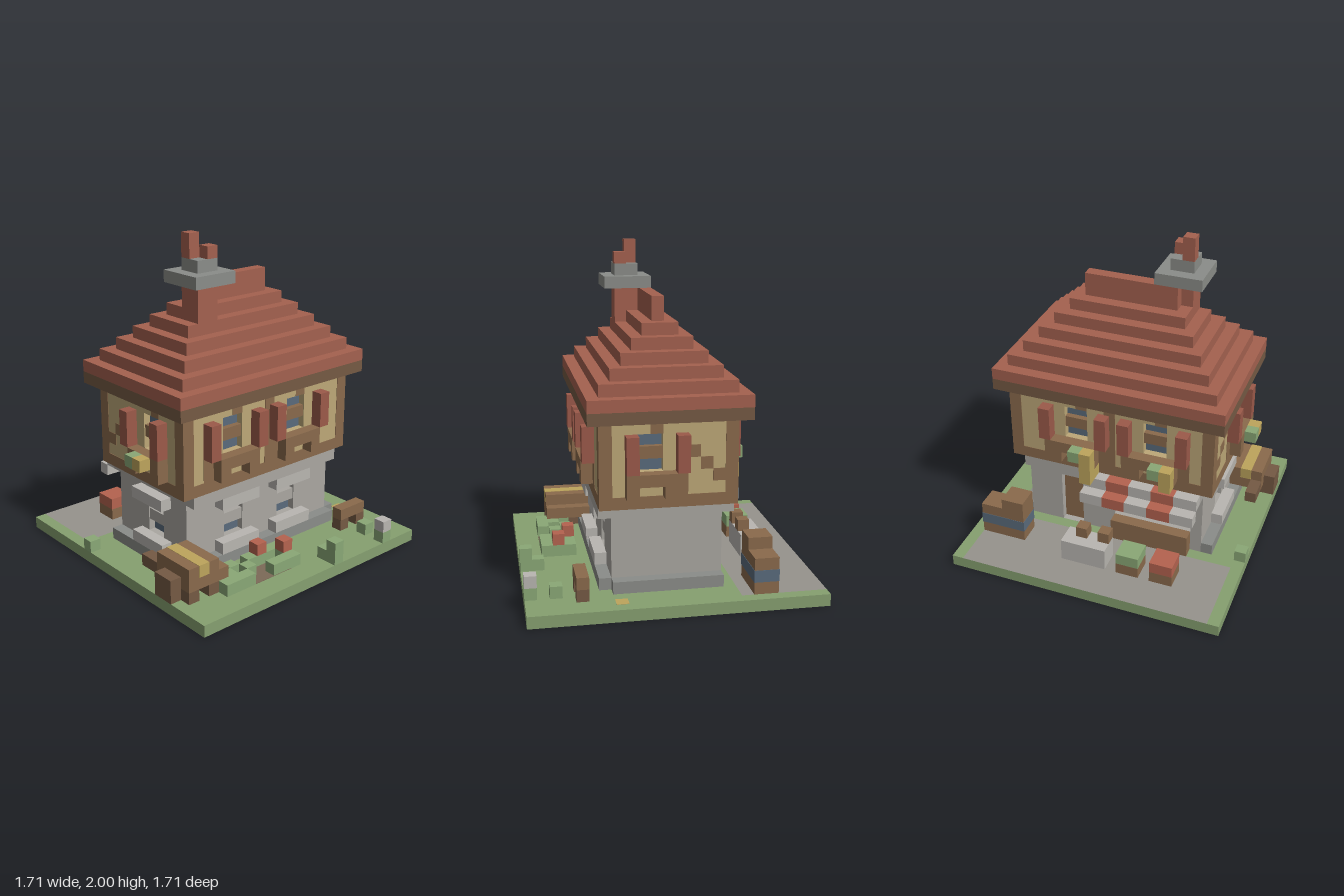
import * as THREE from 'three';

const C = {
  stone: 0xaaa7a1, paleStone: 0xb9b6b1, slate: 0x8b8d89, paving: 0x96938d, plaster: 0xbda878,
  timber: 0x8a6a4c, darkTimber: 0x755a44, tile: 0xa4614f, shutter: 0x9c5a4a, glass: 0x5a6b7c,
  grass: 0x86a070, leaf: 0x8aa876, yellow: 0xbda55c, red: 0xb5634f, soil: 0x7d6a58,
};
const materials = {};
const mat = (c) => (materials[c] ??= new THREE.MeshStandardMaterial({ color: C[c], flatShading: true, side: THREE.DoubleSide }));

function add(parent, name, color, geometry) {
  const mesh = new THREE.Mesh(geometry, mat(color));
  mesh.name = name;
  parent.add(mesh);
  return mesh;
}

// Block given by its limits, in blocks (1/14 unit)
function box(parent, name, color, x0, x1, y0, y1, z0, z1) {
  const g = new THREE.BoxGeometry(x1 - x0, y1 - y0, z1 - z0);
  g.translate((x0 + x1) / 2, (y0 + y1) / 2, (z0 + z1) / 2);
  return add(parent, name, color, g);
}

function rect(Type, x0, x1, y0, y1) {
  const s = new Type();
  s.moveTo(x0, y0).lineTo(x1, y0).lineTo(x1, y1).lineTo(x0, y1).closePath();
  return s;
}

// Wall one block thick with rectangular openings; its outer face lies at local z = plane
function wall(parent, name, color, turn, plane, limits, holes) {
  const side = new THREE.Group();
  side.name = name;
  side.rotation.y = turn;
  parent.add(side);
  const shape = rect(THREE.Shape, ...limits);
  for (const h of holes) shape.holes.push(rect(THREE.Path, ...h));
  const g = new THREE.ExtrudeGeometry(shape, { depth: 1, bevelEnabled: false });
  g.translate(0, 0, plane - 1);
  add(side, name + 'Panel', color, g);
  return side;
}

function glazing(side, plane, x0, x1, y0, y1, barColor) {
  box(side, 'windowGlass', 'glass', x0, x1, y0, y1, plane - 0.95, plane - 0.6);
  box(side, 'windowBar', barColor, x0, x1, y0 + 1, y0 + 2, plane - 0.95, plane - 0.1);
}

// Ground floor wall with lintels and sills
function lowerWall(house, name, turn, plane, x0, x1, windows, openings = []) {
  const holes = windows.map((w) => [w, w + 2, 3, 6]);
  const side = wall(house, name, 'stone', turn, plane, [x0, x1, 1, 7], [...holes, ...openings]);
  for (const w of windows) {
    glazing(side, plane, w, w + 2, 3, 6, 'stone');
    box(side, 'lintel', 'paleStone', w - 1, w + 3, 6, 7, plane, plane + 1);
    box(side, 'sill', 'paleStone', w - 1, w + 3, 2, 3, plane, plane + 1);
  }
  return side;
}

// Upper wall: plaster, timber frame, windows [start, left shutter, right shutter, box start]
function upperWall(house, name, turn, plane, x0, x1, windows) {
  const holes = windows.map(([w]) => [w, w + 2, 11, 14]);
  const side = wall(house, name, 'plaster', turn, plane, [x0, x1, 8, 15], holes);
  const beam = (a, b, c, d) => box(side, 'timber', 'timber', a, b, c, d, plane - 0.2, plane + 0.04);
  beam(x0 - 0.04, x1 + 0.04, 8, 9);
  beam(x0 - 0.04, x0 + 1, 9, 15);
  beam(x1 - 1, x1 + 0.04, 9, 15);
  for (const [w, left, right, b] of windows) {
    glazing(side, plane, w, w + 2, 11, 14, 'timber');
    for (const s of [left, right]) {
      box(side, 'shutter', 'shutter', s, s + 1, 11, 14, plane, plane + 1);
      beam(s, s + 1, 9, 11);
    }
    box(side, 'windowBox', 'timber', b, b + 4, 10, 11, plane, plane + 1);
    for (const k of [b, b + 3]) box(side, 'boxBracket', 'timber', k, k + 1, 9, 10, plane, plane + 1);
    beam(w + 1, w + 2, 14, 15);
  }
  return { side, beam };
}

function buildGround(root) {
  const ground = new THREE.Group();
  ground.name = 'ground';
  root.add(ground);
  const rim = new THREE.CylinderGeometry(12 * Math.SQRT2, 12 * Math.SQRT2, 1, 4, 1, true, Math.PI / 4);
  add(ground, 'groundRim', 'grass', rim.translate(0, 0.5, 0));
  const flat = (name, color, limits, hole) => {
    const s = rect(THREE.Shape, ...limits);
    if (hole) s.holes.push(rect(THREE.Path, ...hole));
    add(ground, name, color, new THREE.ShapeGeometry(s).rotateX(-Math.PI / 2).translate(0, 1, 0));
  };
  // limits are x0, x1, -z1, -z0
  flat('lawn', 'grass', [-12, 12, -12, 5], [-8, 8, -5, 4]);
  flat('paving', 'paving', [-11, 11, 5, 12]);
  for (const s of [-11.5, 11.5]) flat('lawnEdge', 'grass', [s - 0.5, s + 0.5, 5, 12]);
}

function buildHouse(root) {
  const house = new THREE.Group();
  house.name = 'house';
  root.add(house);
  const Q = Math.PI / 2;

  // Ground floor
  lowerWall(house, 'lowerFront', 0, 5, -8, 8, [-4, 2]);
  lowerWall(house, 'lowerRight', Q, 8, -5, 4, []);
  lowerWall(house, 'lowerLeft', -Q, 8, -4, 5, [0]);
  const back = lowerWall(house, 'lowerBack', 2 * Q, 4, -8, 8, [], [[-5, -3, 1.01, 6], [0, 7, 3, 6]]);
  box(back, 'door', 'timber', -5, -3, 1, 6, 3.05, 3.4);
  box(back, 'shopWindow', 'glass', 0, 7, 3, 6, 3.05, 3.4);
  box(back, 'counter', 'timber', 0, 7, 1, 3, 4, 5);
  box(house, 'plinthFront', 'slate', -9, 8, 1, 2, 5, 6);
  for (const s of [-1, 1]) box(house, 'plinthSide', 'slate', s * 8.5 - 0.5, s * 8.5 + 0.5, 1, 2, -4, 5);
  box(house, 'stoneCourse', 'stone', -8, 8, 7, 8, -5, 6);

  // Upper floor
  const pair = [[-5, -7, -2, -6], [2, 0, 5, 1]];
  const front = upperWall(house, 'upperFront', 0, 6, -9, 9, pair);
  const right = upperWall(house, 'upperRight', Q, 9, -6, 5, [[-3, -4, 0, -4]]);
  const left = upperWall(house, 'upperLeft', -Q, 9, -5, 6, [[1, -1, 3, 0]]);
  const rear = upperWall(house, 'upperBack', 2 * Q, 5, -9, 9, [[-4, -6, -1, -5], [3, 1, 6, 2]]);
  for (const { beam } of [front, rear]) beam(-0.5, 0.5, 9, 15);
  for (let i = 0; i < 3; i++) {
    right.beam(1 + i, 2 + i, 12 - i, 13 - i);
    left.beam(-2 - i, -1 - i, 12 - i, 13 - i);
  }
  box(house, 'upperFloor', 'timber', -9, 9, 8, 8.1, -5, 6);

  // Box flowers
  for (const x of [-6, 1]) {
    box(house, 'yellowFlower', 'yellow', x, x + 1, 9, 11, -7, -6);
    box(house, 'boxLeaves', 'leaf', x + 1, x + 2, 10, 11, -7, -6);
  }
  box(house, 'hangingFlower', 'yellow', 1, 2, 8, 9, -7, -5);
  box(house, 'boxLeaves', 'leaf', -11, -10, 10, 11, 1, 2);
  box(house, 'yellowFlower', 'yellow', -11, -10, 10, 11, 2, 3);

  // Striped awning
  for (let i = 0; i < 5; i++) {
    const x = -8 + 2 * i, c = i % 2 ? 'red' : 'paleStone';
    box(house, 'awningUpper', c, x, x + 2, 7, 8, -6, -5);
    box(house, 'awningLower', c, x, x + 2, 6, 7, -7, -6);
  }
}

function buildRoof(root) {
  const roof = new THREE.Group();
  roof.name = 'roof';
  root.add(roof);
  box(roof, 'eaves', 'darkTimber', -10, 10, 15, 16, -6, 7);
  for (let i = 0; i < 6; i++) box(roof, 'roofStep', 'tile', i - 10, 10 - i, 16 + i, 17 + i, i - 6, 7 - i);
  box(roof, 'ridge', 'tile', -4, 4, 22, 24, 0, 1);
  box(roof, 'chimney', 'tile', -5, -3, 20, 24, 1, 3);
  box(roof, 'chimneyCap', 'slate', -6, -2, 24, 25, 0, 4);
  box(roof, 'chimneyTop', 'slate', -5, -3, 25, 26, 1, 3);
  box(roof, 'tallPot', 'tile', -5, -4, 26, 28, 1, 2);
  box(roof, 'shortPot', 'tile', -4, -3, 26, 27, 2, 3);
}

function buildYard(root) {
  const yard = new THREE.Group();
  yard.name = 'yard';
  root.add(yard);

  // Barrels with metal bands
  for (const [x, top] of [[7, 5], [9, 4]]) {
    box(yard, 'barrel', 'timber', x, x + 2, 1, top, -8, -6);
    box(yard, 'barrelBand', 'glass', x - 0.03, x + 2.03, 2, 3, -8.03, -5.97);
  }

  // Market goods
  for (const [x, c] of [[-7, 'red'], [-4, 'leaf']]) {
    box(yard, 'crate', 'timber', x, x + 2, 1, 2, -9, -7);
    box(yard, 'produce', c, x, x + 2, 2, 3, -9, -7);
  }
  box(yard, 'stoneTable', 'paleStone', -1, 3, 1, 3, -9, -7);
  for (const x of [-1, 1]) box(yard, 'tableGoods', 'timber', x, x + 1, 3, 4, -8, -7);

  // Hay cart
  box(yard, 'cartBase', 'timber', -11, -7, 2, 3, 5, 9);
  box(yard, 'cartLoad', 'timber', -11, -8, 3, 4, 5, 9);
  box(yard, 'hay', 'yellow', -10, -9, 3, 4.03, 4.97, 9.03);
  box(yard, 'cartShaft', 'darkTimber', -11, -10, 2, 3, 3, 5);
  box(yard, 'cartWheel', 'darkTimber', -12, -11, 1, 3, 6, 8);
  for (const x of [-11, -9]) box(yard, 'cartLeg', 'darkTimber', x, x + 1, 1, 2, 6, 9);

  // Bench
  box(yard, 'benchSeat', 'timber', 7, 10, 2, 3, 7, 8);
  for (const x of [7, 9]) box(yard, 'benchLeg', 'darkTimber', x, x + 1, 1, 2, 7, 8);

  // Flower bed: x, z, height, top colour
  box(yard, 'soil', 'soil', -5, -1, 1, 1.05, 7, 10);
  const plants = [
    [-8, 7, 1], [-6, 7, 1], [-7, 8, 1], [-8, 9, 1], [-7, 9, 1], [-6, 9, 1], [-5, 8, 1], [-4, 7, 1],
    [-3, 9, 1], [-2, 7, 1], [-2, 9, 1], [-3, 7, 2, 'red'], [-1, 8, 2, 'red'], [-1, 7, 1], [-1, 9, 1],
    [2, 10, 1], [2, 11, 2], [8, 9, 1], [8, 11, 2, 'paleStone'], [-12, -4, 1],
  ];
  for (const [x, z, h, c] of plants) {
    box(yard, 'plant', 'leaf', x, x + 1, 1, c ? h : h + 1, z, z + 1);
    if (c) box(yard, 'blossom', c, x, x + 1, h, h + 1, z, z + 1);
  }
  box(yard, 'fallenPetal', 'yellow', 10, 11, 1, 1.03, 4, 5);
}

export function createModel() {
  const root = new THREE.Group();
  root.name = 'cottage';
  buildGround(root);
  buildHouse(root);
  buildRoof(root);
  buildYard(root);
  root.scale.setScalar(1 / 14);
  return root;
}
